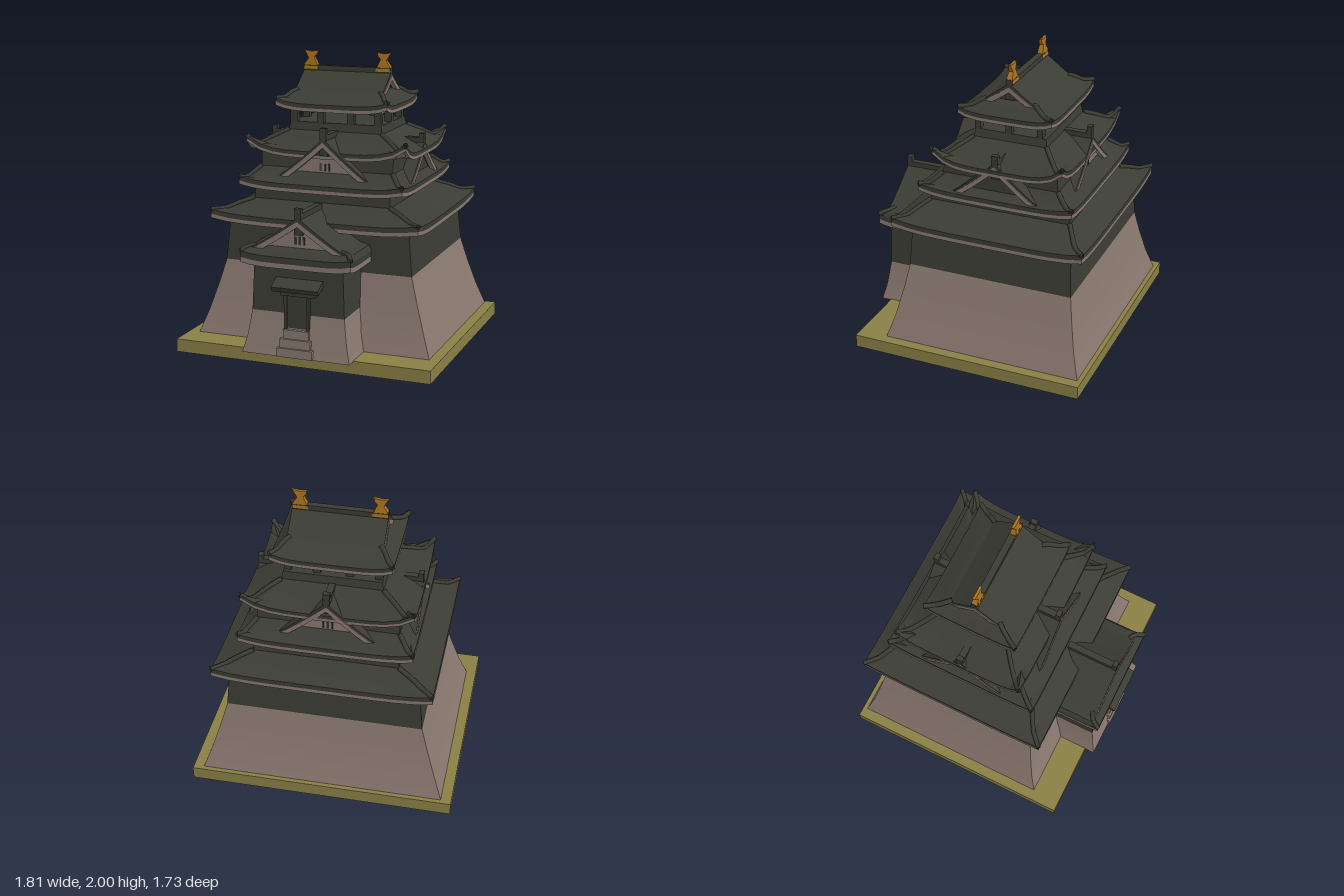
import * as THREE from 'three';
import { toCreasedNormals } from 'three/addons/utils/BufferGeometryUtils.js';

const mat = (name, color, side = THREE.FrontSide) => {
  const m = new THREE.MeshStandardMaterial({ color, side });
  m.name = name;
  return m;
};

export function createModel() {
  const dark = mat('darkTile', 0x3b3c34, THREE.DoubleSide);
  const stone = mat('paleStone', 0x8a7970, THREE.DoubleSide);
  const olive = mat('oliveGround', 0x8a8046);
  const gold = mat('gold', 0xa8721c);
  const root = new THREE.Group();
  root.name = 'castle';
  const CZ = -0.13; // centre line of the keep

  const add = (name, geo, m, x = 0, y = 0, z = 0, parent = root) => {
    const mesh = new THREE.Mesh(geo, m);
    mesh.name = name;
    mesh.position.set(x, y, z);
    parent.add(mesh);
    return mesh;
  };
  const box = (name, m, w, h, d, x, y, z, parent) =>
    add(name, new THREE.BoxGeometry(w, h, d), m, x, y, z, parent);

  // Point on a rectangular ring [halfX, halfZ, y, cornerLift]; side 0 is the front
  const ringPoint = ([hx, hz, y, lift = 0], side, t) => {
    const yy = y + lift * Math.abs(t) ** 5;
    return [[t * hx, yy, hz], [hx, yy, -t * hz], [-t * hx, yy, -hz], [-hx, yy, t * hz]][side];
  };

  // Skin over a stack of rectangular rings
  const loft = (name, rings, m, z, parent) => {
    const pos = [], N = 12;
    for (let r = 0; r < rings.length - 1; r++)
      for (let s = 0; s < 4; s++)
        for (let i = 0; i < N; i++) {
          const t0 = (i / N) * 2 - 1, t1 = ((i + 1) / N) * 2 - 1;
          const a = ringPoint(rings[r], s, t0), b = ringPoint(rings[r], s, t1);
          const c = ringPoint(rings[r + 1], s, t1), d = ringPoint(rings[r + 1], s, t0);
          pos.push(...a, ...b, ...c, ...a, ...c, ...d);
        }
    const geo = new THREE.BufferGeometry();
    geo.setAttribute('position', new THREE.Float32BufferAttribute(pos, 3));
    geo.computeVertexNormals();
    return add(name, toCreasedNormals(geo, 0.5), m, 0, 0, z, parent);
  };

  // Hipped skirt roof: pale soffit and fascia, dark tiles, raised hips
  const skirtRoof = (name, z, wall, eave, thick, top) => {
    const g = new THREE.Group();
    g.name = name;
    root.add(g);
    const [ex, ez, ey, lift] = eave;
    const mid = [ex, ez, ey + thick * 0.45, lift], upper = [ex, ez, ey + thick, lift];
    loft('soffit', [[...wall, ey + 0.02], [ex - 0.03, ez - 0.03, ey, lift], eave, mid], stone, z, g);
    loft('tiles', [mid, upper, ...top], dark, z, g);
    const path = [upper, ...top.slice(0, 3)];
    for (let s = 0; s < 4; s++) {
      const pts = path.map((r) => new THREE.Vector3(...ringPoint(r, s, 1)));
      add('hipRidge', new THREE.TubeGeometry(new THREE.CatmullRomCurve3(pts), 10, 0.017, 6), dark, 0, 0, z, g);
    }
  };

  // Concave gable band between two heights; inner edge dropped by `drop`
  const gableBand = (w, h, drop) => {
    const curve = (u, off) => [u * w, h * (1 - Math.abs(u)) ** 1.15 - off];
    const s = new THREE.Shape();
    for (let i = 0; i <= 16; i++) {
      const p = curve(i / 8 - 1, 0);
      i ? s.lineTo(...p) : s.moveTo(...p);
    }
    for (let i = 16; i >= 0; i--) s.lineTo(...curve(i / 8 - 1, drop));
    return s;
  };
  const extrude = (shape, depth) =>
    new THREE.ExtrudeGeometry(shape, { depth, bevelEnabled: false });

  // Gable facing local +z with its front at local z = 0
  const gable = (name, w, h, depth, field, x, y, z, ry = 0, knob = 0.06) => {
    const g = new THREE.Group();
    g.name = name;
    g.position.set(x, y, z);
    g.rotation.y = ry;
    root.add(g);
    add('gableTiles', extrude(gableBand(w, h, 0.035), depth), dark, 0, 0, -depth, g);
    const board = gableBand(w * 0.97, h - 0.02, 0.038);
    add('bargeboard', extrude(board, 0.03), stone, 0, -0.004, -0.024, g);
    const tri = new THREE.Shape([[-w * 0.9, -0.04], [w * 0.9, -0.04], [w * 0.4, h * 0.46],
      [0, h - 0.05], [-w * 0.4, h * 0.46]].map((p) => new THREE.Vector2(...p)));
    add('gableField', extrude(tri, 0.02), field, 0, 0, -0.06, g);
    // hanging ornament and small slats
    box('pendant', dark, 0.06, 0.07, 0.02, 0, h - 0.085, -0.025, g);
    if (field === stone)
      for (const k of [-1, 0, 1]) box('slat', dark, 0.012, 0.05, 0.008, k * 0.03, h * 0.33, -0.037, g);
    box('ridgeTile', dark, 0.045, 0.035, depth, 0, h + 0.005, -depth / 2, g);
    if (knob) box('ridgeEnd', dark, 0.045, knob, 0.035, 0, h + knob / 2, -0.018, g);
  };

  // Ground slab
  box('groundSlab', olive, 1.81, 0.09, 1.63, 0, 0.045, -0.045);

  // Flared stone base and lower walls
  loft('stoneBase', [[0.835, 0.7, 0.085], [0.775, 0.65, 0.25], [0.715, 0.61, 0.44], [0.67, 0.582, 0.6]], stone, CZ);
  loft('lowerWall', [[0.67, 0.582, 0.6], [0.64, 0.565, 0.92]], dark, CZ);

  // Three skirt roofs and the storeys between them
  skirtRoof('firstRoof', CZ, [0.63, 0.55], [0.74, 0.675, 0.875, 0.03], 0.06,
    [[0.66, 0.6, 0.965], [0.58, 0.55, 1.0], [0.49, 0.5, 1.03], [0.485, 0.495, 1.12]]);
  skirtRoof('secondRoof', CZ, [0.48, 0.49], [0.585, 0.545, 1.095, 0.03], 0.055,
    [[0.55, 0.5, 1.17], [0.51, 0.45, 1.205], [0.475, 0.41, 1.24], [0.475, 0.4, 1.34]]);
  skirtRoof('thirdRoof', CZ - 0.015, [0.47, 0.39], [0.575, 0.455, 1.315, 0.09], 0.045,
    [[0.51, 0.4, 1.39], [0.43, 0.33, 1.43], [0.34, 0.26, 1.475], [0.33, 0.25, 1.53], [0, 0, 1.53]]);

  // Dormer gables: front, back and both sides
  gable('frontDormer', 0.37, 0.3, 0.3, stone, 0, 1.16, 0.34, 0, 0.07);
  gable('backDormer', 0.37, 0.3, 0.3, stone, 0, 1.16, -0.6, Math.PI, 0.07);
  for (const s of [-1, 1])
    gable('sideDormer', 0.32, 0.26, 0.3, dark, s * 0.565, 1.15, -0.13, s * Math.PI / 2, 0.05);

  // Open lookout: posts and lintel
  for (const px of [-0.305, -0.11, 0.11, 0.305])
    for (const pz of [-0.22, 0, 0.22])
      if (pz || Math.abs(px) > 0.2) box('lookoutPost', dark, 0.05, 0.12, 0.04, px, 1.58, CZ + pz);
  box('lookoutLintel', stone, 0.66, 0.03, 0.48, 0, 1.627, CZ);

  // Top hip-and-gable roof
  skirtRoof('topRoof', CZ, [0.32, 0.23], [0.405, 0.33, 1.615, 0.035], 0.05,
    [[0.365, 0.265, 1.7], [0.325, 0.2, 1.735], [0.3, 0.17, 1.745], [0, 0, 1.75]]);
  for (const s of [-1, 1])
    gable('topGable', 0.23, 0.16, 0.32, dark, s * 0.32, 1.715, CZ, s * Math.PI / 2, 0.02);

  // Gold roof fish, tapering towards the tail
  const fish = new THREE.Shape([[-0.055, 0], [0.055, 0], [0.05, 0.035], [0.022, 0.075], [0.035, 0.1],
    [0.055, 0.13], [0, 0.122], [-0.045, 0.13], [-0.04, 0.105], [-0.02, 0.085], [-0.038, 0.045]]
    .map((p) => new THREE.Vector2(...p)));
  const fishGeo = extrude(fish, 0.05);
  const fp = fishGeo.attributes.position;
  for (let i = 0; i < fp.count; i++) fp.setZ(i, (fp.getZ(i) - 0.025) * (1 - 5 * fp.getY(i)));
  fishGeo.computeVertexNormals();
  for (const s of [-1, 1])
    add('roofFish', fishGeo, gold, s * 0.265, 1.87, CZ).rotation.y = s < 0 ? Math.PI : 0;

  // Entrance tower
  const EZ = 0.55;
  loft('entranceBase', [[0, 0, 0.085], [0.38, 0.29, 0.085], [0.35, 0.262, 0.2], [0.325, 0.235, 0.37]], stone, EZ);
  loft('entranceWall', [[0.325, 0.235, 0.37], [0.31, 0.225, 0.72]], dark, EZ);
  skirtRoof('entranceRoof', EZ, [0.3, 0.22], [0.385, 0.285, 0.68, 0.02], 0.075,
    [[0.365, 0.25, 0.79], [0.34, 0.22, 0.8], [0.3, 0.2, 0.805], [0, 0, 0.81]]);
  gable('entranceGable', 0.37, 0.24, 0.37, stone, 0, 0.775, 0.785, 0, 0.06);

  // Door, frame, canopy and steps
  box('door', dark, 0.14, 0.24, 0.03, 0, 0.385, 0.785);
  for (const s of [-1, 1]) box('doorPost', dark, 0.022, 0.25, 0.05, s * 0.078, 0.385, 0.785);
  box('doorLintel', dark, 0.24, 0.035, 0.06, 0.01, 0.515, 0.79);
  box('canopy', dark, 0.33, 0.035, 0.11, 0.01, 0.57, 0.815).rotation.x = 0.45;
  for (let i = 0; i < 3; i++)
    box('step', stone, 0.25 - i * 0.035, 0.06, 0.12, 0, 0.118 + i * 0.06, 0.795 - i * 0.015);

  return root;
}
